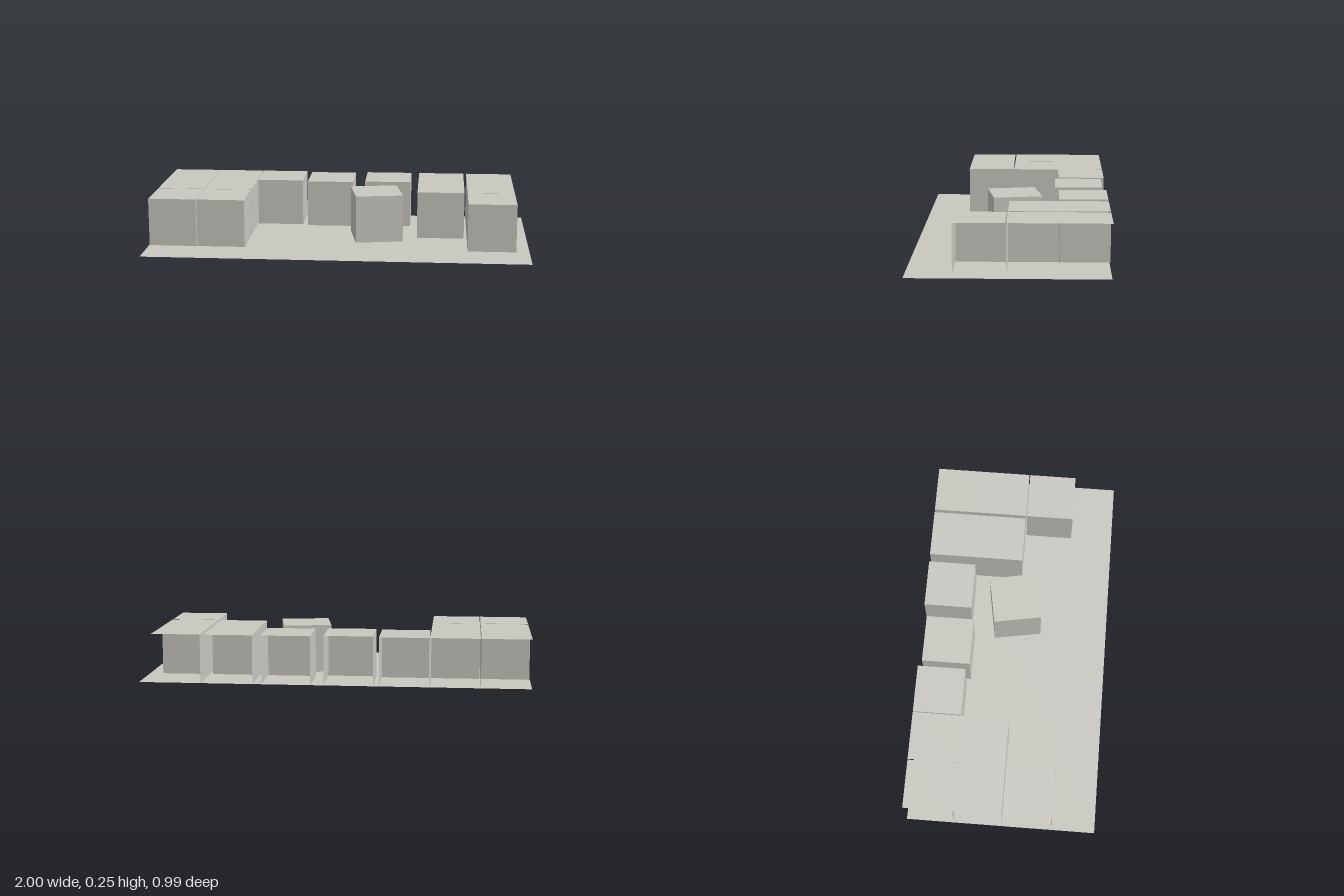
import * as THREE from 'three';

const SIZE = 0.252;

export function createModel() {
  const model = new THREE.Group();
  const paleGrey = new THREE.MeshStandardMaterial({ color: 0xc8c7c0, side: THREE.DoubleSide });
  paleGrey.name = 'paleGrey';
  const panel = new THREE.PlaneGeometry(SIZE, SIZE);
  const h = SIZE / 2;

  // Position and turn of each panel inside a cubicle
  const panels = {
    top: [0, h, 0, -Math.PI / 2, 0],
    front: [0, 0, h, 0, 0],
    back: [0, 0, -h, 0, Math.PI],
    left: [h, 0, 0, 0, Math.PI / 2],
    right: [-h, 0, 0, 0, -Math.PI / 2],
  };

  function addCubicle(name, x, z, sides, turn = 0) {
    const box = new THREE.Group();
    box.name = name;
    for (const side of ['top', ...sides]) {
      const [px, py, pz, rx, ry] = panels[side];
      const mesh = new THREE.Mesh(panel, paleGrey);
      mesh.name = side + 'Panel';
      mesh.position.set(px, py, pz);
      mesh.rotation.set(rx, ry, 0);
      box.add(mesh);
    }
    box.position.set(x, h, z);
    box.rotation.y = turn;
    model.add(box);
  }

  // Ground sheet
  const floor = new THREE.Mesh(new THREE.PlaneGeometry(2, 0.985), paleGrey);
  floor.name = 'floor';
  floor.rotation.x = -Math.PI / 2;
  floor.position.z = 0.0025;
  model.add(floor);

  // Side rows, open at the back and on the outer side
  const rows = [-0.369, -0.117, 0.141];
  for (const z of rows) {
    addCubicle('rightOuterCubicle', -0.871, z, ['front', 'left']);
    addCubicle('rightInnerCubicle', -0.615, z, ['front', 'left']);
    addCubicle('leftOuterCubicle', 0.805, z, ['front', 'right']);
  }
  for (const z of rows.slice(0, 2)) {
    addCubicle('leftInnerCubicle', 0.537, z, ['front', 'right']);
  }

  // Back row, open only at the back
  addCubicle('backRightCubicle', -0.359, -0.369, ['front', 'left', 'right']);
  addCubicle('backMiddleCubicle', -0.077, -0.35, ['front', 'left', 'right']);
  addCubicle('backLeftCubicle', 0.241, -0.369, ['front', 'left', 'right']);

  // Closed free-standing block, slightly turned
  addCubicle('centreBlock', 0.191, -0.011, ['front', 'back', 'left', 'right'], 0.175);

  return model;
}
